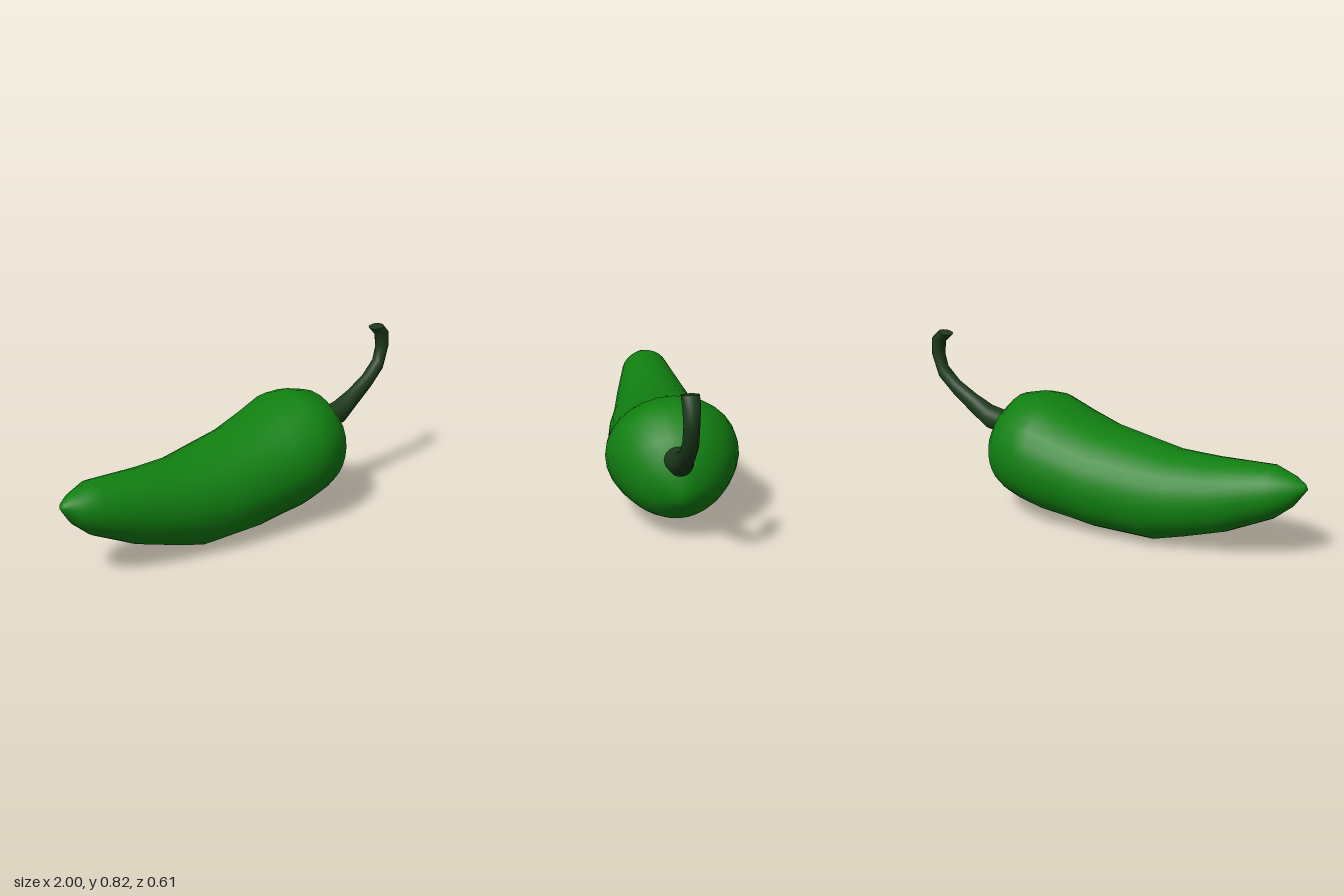
import * as THREE from 'three';

const SIDES = 28;

// Lofts elliptical rings. Each ring: [topX, topY, bottomX, bottomY, halfWidth].
// Ends close on a point; a sharp cap gets its own ring so its edge stays crisp.
function loft(rings, start, end, z, sharp) {
  const pos = [], index = [];
  const addRing = ([tx, ty, bx, by, w]) => {
    const first = pos.length / 3;
    for (let j = 0; j < SIDES; j++) {
      const a = (j / SIDES) * Math.PI * 2, c = Math.cos(a) / 2;
      pos.push((tx + bx) / 2 + (tx - bx) * c, (ty + by) / 2 + (ty - by) * c, z + w * Math.sin(a));
    }
    return first;
  };
  const ids = rings.map(addRing);
  for (let i = 0; i < ids.length - 1; i++) {
    for (let j = 0; j < SIDES; j++) {
      const k = (j + 1) % SIDES, p = ids[i], q = ids[i + 1];
      index.push(p + j, p + k, q + j, p + k, q + k, q + j);
    }
  }
  const cap = (i, [x, y], flip) => {
    const r = sharp ? addRing(rings[i]) : ids[i];
    const c = pos.length / 3;
    pos.push(x, y, z);
    for (let j = 0; j < SIDES; j++) {
      const k = (j + 1) % SIDES;
      if (flip) index.push(c, r + k, r + j);
      else index.push(c, r + j, r + k);
    }
  };
  cap(0, start, true);
  cap(rings.length - 1, end, false);
  const g = new THREE.BufferGeometry();
  g.setAttribute('position', new THREE.Float32BufferAttribute(pos, 3));
  g.setIndex(index);
  g.computeVertexNormals();
  return g;
}

function part(name, geometry, color) {
  const mesh = new THREE.Mesh(geometry, new THREE.MeshStandardMaterial({ color }));
  mesh.name = name;
  return mesh;
}

export function createModel() {
  const group = new THREE.Group();
  group.name = 'chiliPepper';

  // Curved fruit, from the pointed tip to the blunt shoulder
  const fruit = [
    [-0.985, 0.402, -0.98, 0.35, 0.025],
    [-0.93, 0.43, -0.94, 0.29, 0.07],
    [-0.83, 0.46, -0.86, 0.22, 0.122],
    [-0.55, 0.442, -0.64, 0.11, 0.177],
    [-0.35, 0.44, -0.46, 0.05, 0.21],
    [-0.17, 0.468, -0.31, 0.005, 0.245],
    [0, 0.497, 0, 0.005, 0.268],
    [0.17, 0.55, 0.1, 0.022, 0.288],
    [0.3, 0.6, 0.24, 0.035, 0.303],
    [0.38, 0.6, 0.31, 0.05, 0.296],
    [0.48, 0.575, 0.38, 0.06, 0.268],
    [0.55, 0.5, 0.45, 0.077, 0.225],
    [0.59, 0.43, 0.51, 0.1, 0.178],
    [0.62, 0.36, 0.56, 0.14, 0.12],
    [0.634, 0.29, 0.61, 0.195, 0.05],
  ];
  group.add(part('fruit', loft(fruit, [-1, 0.38], [0.638, 0.235], 0, false), 0x118011));

  // Hooked stem, flared at the base and at the cut end
  const stem = [
    [0.56, 0.462, 0.61, 0.36, 0.062],
    [0.665, 0.483, 0.67, 0.368, 0.055],
    [0.75, 0.525, 0.775, 0.435, 0.038],
    [0.855, 0.585, 0.87, 0.508, 0.035],
    [0.92, 0.65, 0.957, 0.59, 0.034],
    [0.932, 0.71, 0.998, 0.71, 0.033],
    [0.923, 0.775, 0.992, 0.79, 0.037],
    [0.88, 0.815, 0.952, 0.83, 0.038],
  ];
  group.add(part('stem', loft(stem, [0.585, 0.411], [0.916, 0.8225], 0.012, true), 0x1c3a1c));

  return group;
}
